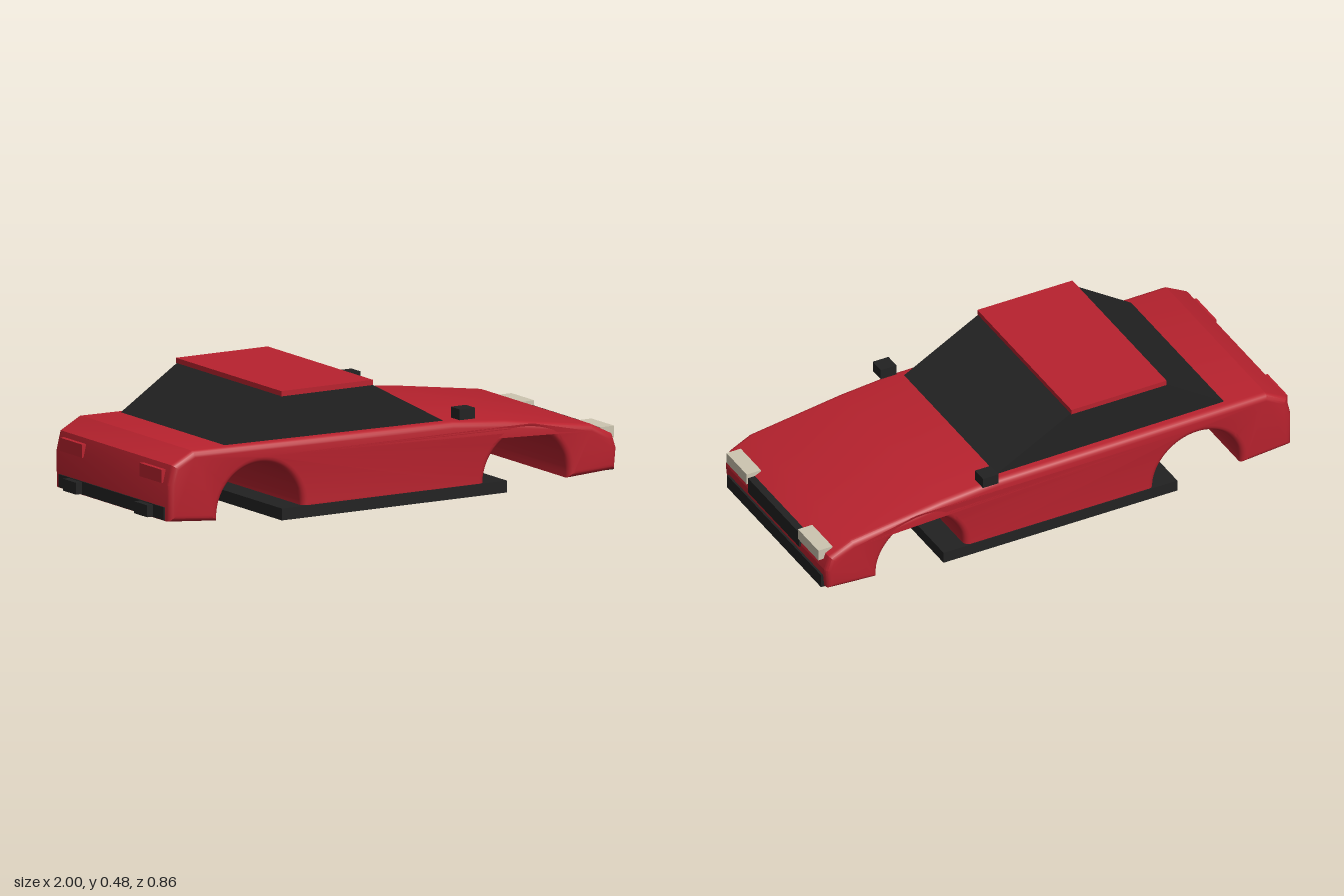
import * as THREE from 'three';
import { toCreasedNormals } from 'three/addons/utils/BufferGeometryUtils.js';

const paint = (name, color) => {
  const m = new THREE.MeshStandardMaterial({ color });
  m.name = name;
  return m;
};

export function createModel() {
  const red = paint('red paint', 0xb8222e);
  const black = paint('black trim', 0x222222);
  const cream = paint('lamp cream', 0xcdc5b0);
  const car = new THREE.Group();
  car.name = 'car';

  const add = (name, geometry, material) => {
    const mesh = new THREE.Mesh(geometry, material);
    mesh.name = name;
    car.add(mesh);
    return mesh;
  };

  // Box given by its lower and upper limits on each axis
  const box = (name, [x0, x1], [y0, y1], [z0, z1], material) => {
    const mesh = add(name, new THREE.BoxGeometry(x1 - x0, y1 - y0, z1 - z0), material);
    mesh.position.set((x0 + x1) / 2, (y0 + y1) / 2, (z0 + z1) / 2);
  };

  // The same box on both sides of the car
  const pair = (name, x, y, [z0, z1], material) => {
    box(name + 'Left', x, y, [-z1, -z0], material);
    box(name + 'Right', x, y, [z0, z1], material);
  };

  // Body: side profile with open wheel arches, extruded across with rounded edges
  const profile = new THREE.Shape();
  const archRadius = 0.184, archY = 0.04;
  profile.moveTo(-0.968, 0.043);
  profile.lineTo(-0.757, 0.025);
  profile.lineTo(-0.757, archY);
  profile.absarc(-0.573, archY, archRadius, Math.PI, 0, true);
  profile.lineTo(-0.389, 0.022);
  profile.lineTo(0.406, 0.022);
  profile.lineTo(0.406, archY);
  profile.absarc(0.59, archY, archRadius, Math.PI, 0, true);
  profile.lineTo(0.774, 0.022);
  for (const [x, y] of [
    [0.98, 0.034], [0.988, 0.115], [0.97, 0.17], [0.88, 0.215], [0.5, 0.269],
    [0.27, 0.29], [-0.865, 0.302], [-0.952, 0.255], [-0.97, 0.18],
  ]) profile.lineTo(x, y);
  profile.closePath();
  const bevel = 0.025, halfWidth = 0.405;
  const body = new THREE.ExtrudeGeometry(profile, {
    depth: 2 * (halfWidth - bevel), curveSegments: 24,
    bevelThickness: bevel, bevelSize: bevel, bevelOffset: -bevel, bevelSegments: 4,
  });
  body.translate(0, 0, bevel - halfWidth);
  add('body', toCreasedNormals(body, 0.45), red);

  // Cabin glass
  const glass = new THREE.Shape([
    [-0.72, 0.29], [0.255, 0.288], [-0.06, 0.46], [-0.46, 0.46],
  ].map(([x, y]) => new THREE.Vector2(x, y)));
  const cabin = new THREE.ExtrudeGeometry(glass, { depth: 0.724, bevelEnabled: false });
  cabin.translate(0, 0, -0.362);
  add('cabin', cabin, black);
  box('roof', [-0.46, -0.06], [0.459, 0.479], [-0.367, 0.367], red);

  // Floor and mirrors
  box('floor', [-0.483, 0.5], [0, 0.045], [-0.408, 0.408], black);
  pair('mirror', [0.28, 0.346], [0.3, 0.341], [0.368, 0.43], black);

  // Nose
  pair('headlight', [0.94, 1], [0.146, 0.19], [0.2, 0.358], cream);
  box('grille', [0.95, 0.995], [0.108, 0.172], [-0.2, 0.2], black);
  box('frontBumper', [0.95, 0.993], [0.028, 0.082], [-0.367, 0.367], black);

  // Tail
  pair('tailLight', [-0.975, -0.93], [0.185, 0.235], [0.2, 0.355], red);
  box('rearBumper', [-0.974, -0.94], [0.046, 0.095], [-0.367, 0.367], black);
  pair('exhaust', [-1, -0.96], [0.048, 0.093], [0.203, 0.293], black);

  return car;
}
